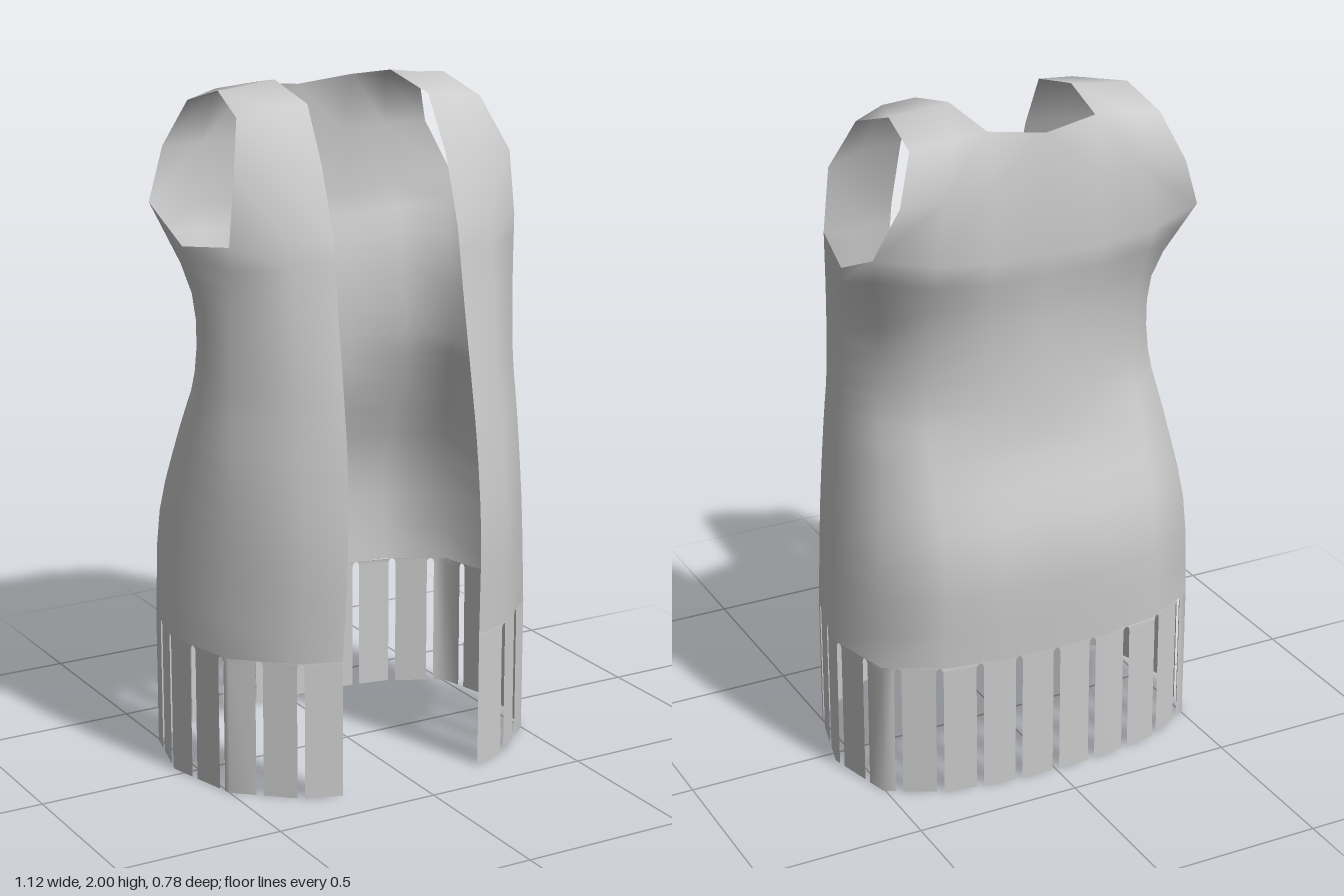
import * as THREE from 'three';
import { mergeVertices } from 'three/addons/utils/BufferGeometryUtils.js';

const V = (x, y, z) => new THREE.Vector3(x, y, z);
const HEM = 0.41, STRIPS = 11, GAP = 0.022;

// Half outlines [x, z] from front opening, round the side, to centre back
const rings = [
  [HEM, [[.228, .375], [.34, .335], [.5, .195], [.56, -.04], [.505, -.26], [.34, -.35], [.17, -.375], [0, -.382]]],
  [0.73, [[.22, .39], [.34, .345], [.487, .195], [.546, -.04], [.492, -.25], [.34, -.35], [.17, -.383], [0, -.39]]],
  [1.0, [[.212, .373], [.335, .32], [.475, .18], [.515, 0], [.455, -.18], [.34, -.26], [.17, -.297], [0, -.305]]],
  [1.17, [[.208, .347], [.33, .3], [.467, .165], [.487, .03], [.435, -.12], [.33, -.215], [.165, -.273], [0, -.287]]],
  [1.4, [[.204, .308], [.33, .272], [.465, .16], [.481, .03], [.435, -.13], [.33, -.235], [.165, -.275], [0, -.286]]],
];
// Upper rim of the lower body, dipping under the armhole
const rim = [V(.2, 1.6, .278), V(.33, 1.6, .25), V(.465, 1.59, .163), V(.505, 1.56, -.045),
  V(.505, 1.65, -.255), V(.34, 1.62, -.306), V(.17, 1.6, -.313), V(0, 1.6, -.314)];

// Top of the back: armhole, shoulder middle, neck corner, centre back
const backTop = [V(.385, 1.935, -.24), V(.28, 1.955, -.272), V(.165, 1.965, -.265), V(0, 1.945, -.29)];
const backRows = [rim.slice(4),
  [V(.44, 1.8, -.295), V(.31, 1.8, -.303), V(.165, 1.8, -.303), V(0, 1.8, -.303)], backTop];

// Shoulder strap rows: neck edge, middle, armhole edge
const strapRows = [rim.slice(0, 3),
  [V(.2, 1.8, .21), V(.33, 1.8, .197), V(.447, 1.78, .16)],
  [V(.195, 1.958, .12), V(.3, 1.952, .115), V(.395, 1.93, .08)],
  [V(.19, 2, -.08), V(.28, 1.988, -.08), V(.37, 1.982, -.08)],
  [backTop[2], backTop[1], backTop[0]]];

// Adds a grid of quads and its mirror image to a position list
function addGrid(out, rows) {
  const tri = (a, b, c) => {
    for (const p of [a, b, c]) out.push(p.x, p.y, p.z);
    for (const p of [a, c, b]) out.push(p.x === 0 ? 0 : -p.x, p.y, p.z);
  };
  for (let i = 0; i + 1 < rows.length; i++) {
    for (let j = 0; j + 1 < rows[i].length; j++) {
      const a = rows[i][j], b = rows[i][j + 1], c = rows[i + 1][j + 1], d = rows[i + 1][j];
      tri(a, b, c);
      tri(a, c, d);
    }
  }
}

function toMesh(name, positions, material) {
  let geo = new THREE.BufferGeometry();
  geo.setAttribute('position', new THREE.Float32BufferAttribute(positions, 3));
  geo = mergeVertices(geo, 1e-4);
  geo.computeVertexNormals();
  const mesh = new THREE.Mesh(geo, material);
  mesh.name = name;
  return mesh;
}

export function createModel() {
  const group = new THREE.Group();
  group.name = 'fringedVest';
  const cloth = new THREE.MeshStandardMaterial({ color: 0xcccccc, side: THREE.DoubleSide });

  // Lower body: smooth vertical curves joined round the waist
  const body = [];
  const columns = rim.map((top, j) => new THREE.CatmullRomCurve3(
    [...rings.map(([y, pts]) => V(pts[j][0], y, pts[j][1])), top]));
  const steps = 15;
  const lower = [];
  for (let i = 0; i < steps; i++) lower.push(columns.map((c) => c.getPoint(i / steps)));
  lower.push(rim);
  addGrid(body, lower);

  // Upper back and the straps running over the shoulders
  addGrid(body, backRows);
  addGrid(body, strapRows);
  group.add(toMesh('vestBody', body, cloth));

  // Fringe: strips following the hem, flared at the top so the slits end rounded
  const hem = rings[0][1];
  const lengths = [0];
  for (let j = 1; j < hem.length; j++) {
    lengths.push(lengths[j - 1] + Math.hypot(hem[j][0] - hem[j - 1][0], hem[j][1] - hem[j - 1][1]));
  }
  const total = lengths[hem.length - 1];
  const onHem = (s, y) => {
    let j = 0;
    while (j < hem.length - 2 && lengths[j + 1] < s) j++;
    const t = (s - lengths[j]) / (lengths[j + 1] - lengths[j]);
    const mix = (k) => THREE.MathUtils.lerp(hem[j][k], hem[j + 1][k], t);
    return V(mix(0), y, mix(1));
  };
  const fringe = [];
  const pitch = total / STRIPS;
  for (let n = 0; n < STRIPS; n++) {
    const start = n * pitch, end = start + pitch;
    const left = n === 0 ? 0 : GAP / 2, right = GAP / 2;
    const corners = lengths.filter((s) => s > start + GAP && s < end - GAP);
    const row = (y, f) => [start + left * f, ...corners, end - right * f].map((s) => onHem(s, y));
    addGrid(fringe, [row(0, 1), row(HEM - 0.014, 1), row(HEM - 0.004, 0.7), row(HEM, 0)]);
  }
  group.add(toMesh('hemFringe', fringe, cloth));
  return group;
}
